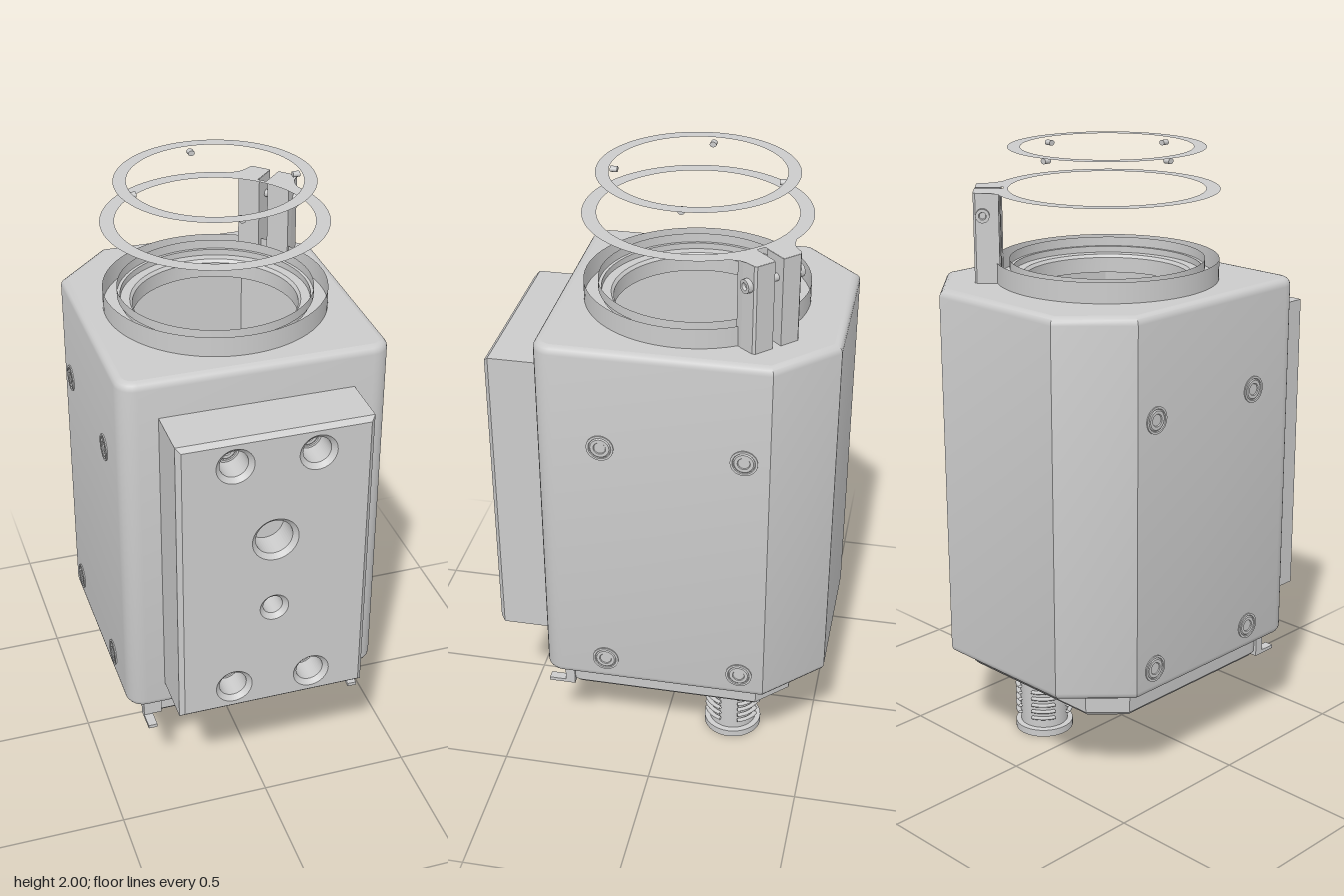
import * as THREE from 'three';
import { toCreasedNormals } from 'three/addons/utils/BufferGeometryUtils.js';

const CZ = -0.065; // z of the top opening's axis
const V = (x, y) => new THREE.Vector2(x, y);

export function createModel() {
  const root = new THREE.Group();
  const solid = new THREE.MeshStandardMaterial({ color: 0xcccccc });
  const thin = new THREE.MeshStandardMaterial({ color: 0xcccccc, side: THREE.DoubleSide });

  const add = (name, geo, x = 0, y = 0, z = 0, mat = solid, parent = root) => {
    const m = new THREE.Mesh(geo, mat);
    m.name = name;
    m.position.set(x, y, z);
    parent.add(m);
    return m;
  };
  const box = (name, x0, x1, y0, y1, z0, z1) =>
    add(name, new THREE.BoxGeometry(x1 - x0, y1 - y0, z1 - z0), (x0 + x1) / 2, (y0 + y1) / 2, (z0 + z1) / 2);
  const lathe = (pts, n = 64) => toCreasedNormals(new THREE.LatheGeometry(pts.map(p => V(...p)), n), 0.5);
  const circle = (x, y, r) => new THREE.Path().absarc(x, y, r, 0, Math.PI * 2, true);
  const rect = (x0, x1, y0, y1) => new THREE.Path([V(x0, y0), V(x0, y1), V(x1, y1), V(x1, y0)]);
  const flat = (shape) => new THREE.ShapeGeometry(shape, 48).rotateX(-Math.PI / 2);

  // Plan outline in (x, -z): rounded front corners, chamfered back corners, inset by i
  const outline = (o, i) => {
    const k = i * (Math.SQRT2 - 1), hw = o.hw - i, b = o.back - i, r = Math.max(o.r - i, 0.005);
    const f = o.front + i, pts = [];
    for (let j = 0; j <= 6; j++) {
      const a = -Math.PI / 2 + j * Math.PI / 12;
      pts.push(V(hw - r + r * Math.cos(a), f + r + r * Math.sin(a)));
    }
    pts.push(V(hw, o.back - o.c - k), V(o.hw - o.c - k, b));
    return pts.concat(pts.map(p => V(-p.x, p.y)).reverse());
  };
  // Skin through stacked outlines, rows of [y, inset]
  const loft = (o, rows) => {
    const pos = [], idx = [];
    const n = outline(o, 0).length;
    rows.forEach(([y, i]) => outline(o, i).forEach(p => pos.push(p.x, y, -p.y)));
    for (let r = 0; r < rows.length - 1; r++) for (let j = 0; j < n; j++) {
      const a = r * n + j, b = r * n + (j + 1) % n;
      idx.push(a, b, b + n, a, b + n, a + n);
    }
    const g = new THREE.BufferGeometry();
    g.setAttribute('position', new THREE.Float32BufferAttribute(pos, 3));
    g.setIndex(idx);
    return toCreasedNormals(g, 0.6);
  };

  // Housing: outer skin with rounded rims, inner wall, top and underside
  const body = { hw: 0.43, front: -0.365, back: 0.55, c: 0.18, r: 0.06 };
  const cover = { hw: 0.37, front: -0.305, back: 0.44, c: 0.1, r: 0.05 };
  const rim = 0.025, rows = [];
  for (let j = 0; j <= 4; j++) {
    const a = j * Math.PI / 8;
    rows.push([0.35 + rim * (1 - Math.sin(a)), rim * (1 - Math.cos(a))]);
  }
  rows.reverse();
  const skin = rows.concat(rows.map(([y, i]) => [1.935 - y, i]).reverse());
  skin.sort((p, q) => p[0] - q[0]);
  add('housing', loft(body, skin));
  add('innerWall', loft(body, [[0.35, 0.045], [1.56, 0.045]]), 0, 0, 0, thin);
  const top = new THREE.Shape(outline(body, rim));
  top.holes.push(circle(0, -CZ, 0.268));
  add('housingTop', flat(top), 0, 1.585, 0, thin);
  const under = new THREE.Shape(outline(body, rim));
  under.holes.push(new THREE.Path(outline(cover, 0).reverse()));
  add('housingUnderside', flat(under), 0, 0.35, 0, thin);

  // Bottom cover with floor openings
  add('bottomCover', loft(cover, [[0.262, 0.015], [0.275, 0.003], [0.35, 0]]), 0, 0, 0, thin);
  const floor = new THREE.Shape(outline(cover, 0.015));
  floor.holes.push(circle(0.15, 0.23, 0.085), rect(-0.18, 0.135, -0.26, 0.015),
    circle(0.16, -0.11, 0.014));
  add('floor', flat(floor), 0, 0.264, 0, thin);
  for (const s of [-1, 1]) {
    box('coverClip', s * 0.355 - 0.015, s * 0.355 + 0.015, 0.258, 0.27, 0.28, 0.368);
    box('coverRib', s * 0.34 - 0.03, s * 0.34 + 0.03, 0.27, 0.345, 0.28, 0.312);
  }

  // Mechanism inside the floor window
  box('leftBlock', 0.05, 0.125, 0.27, 0.34, -0.01, 0.04);
  box('rightBlock', -0.175, -0.085, 0.27, 0.34, -0.01, 0.04);
  box('rightRail', -0.18, -0.135, 0.266, 0.3, 0.04, 0.26);
  box('leftRail', 0.09, 0.135, 0.266, 0.3, 0.04, 0.26);
  box('slider', -0.05, 0.05, 0.266, 0.3, -0.01, 0.26);
  for (let i = 0; i < 18; i++) box('rackTooth', -0.01, 0.05, 0.3, 0.315, 0.004 + i * 0.014, 0.011 + i * 0.014);

  // Front mounting plate with round recesses
  const plate = new THREE.Shape([V(-0.31, 0.44), V(0.31, 0.44), V(0.31, 1.46), V(-0.31, 1.46)]);
  const bolts = [[-0.13, 1.37], [0.13, 1.37], [-0.13, 0.53], [0.13, 0.53]];
  const bevel = 0.015;
  for (const [x, y] of bolts) plate.holes.push(circle(x, y, 0.06 - bevel));
  plate.holes.push(circle(0, 1.08, 0.075 - bevel), circle(0, 0.82, 0.047 - bevel));
  add('frontPlate', new THREE.ExtrudeGeometry(plate, {
    depth: 0.18, bevelEnabled: true, bevelSize: bevel, bevelThickness: bevel,
    bevelOffset: -bevel, bevelSegments: 1, curveSegments: 24
  }), 0, 0, 0.355);
  box('plateBacking', -0.29, 0.29, 0.46, 1.44, 0.36, 0.45);

  // Screw heads: a rim with a sunken socket
  const screwGeo = lathe([[0.043, -0.002], [0.043, 0.004], [0.036, 0.004], [0.034, 0.001],
    [0.03, 0.004], [0.02, 0.004], [0.018, 0.001], [0, 0.001]], 32);
  const screw = (x, y, z, rx, rz) => add('screw', screwGeo, x, y, z, thin).rotation.set(rx, 0, rz);
  for (const [x, y] of bolts) screw(x, y, 0.451, Math.PI / 2, 0);
  for (const s of [-1, 1]) {
    screw(s * 0.19, 0.435, 0.365, Math.PI / 2, 0);
    for (const y of [0.435, 1.255]) for (const z of [0.155, -0.29]) screw(s * 0.43, y, z, 0, -s * Math.PI / 2);
  }

  // Collar: outer wall and stepped inner seat
  add('collarWall', new THREE.CylinderGeometry(0.355, 0.355, 0.065, 72, 1, true), 0, 1.6175, CZ, thin);
  add('collarSeat', lathe([[0.262, 1.54], [0.262, 1.59], [0.27, 1.6], [0.3, 1.6], [0.3, 1.62], [0.31, 1.62], [0.31, 1.65]], 72),
    0, 0, CZ, thin);

  // Clamp: two ears, a bolt across the slot, and the ring on top
  const clamp = new THREE.Group();
  clamp.name = 'clamp';
  clamp.position.set(0, 0, CZ);
  clamp.rotation.y = Math.PI / 4;
  root.add(clamp);
  const ear = [[0.335, 0.015], [0.415, 0.015], [0.415, 0.078], [0.408, 0.085], [0.36, 0.09], [0.335, 0.09]];
  for (const s of [-1, 1]) {
    const pts = ear.map(([u, w]) => V(u, s * w));
    const g = new THREE.ExtrudeGeometry(new THREE.Shape(pts), { depth: 0.283, bevelEnabled: false });
    add('clampEar', g.rotateX(-Math.PI / 2), 0, 1.585, 0, solid, clamp);
    const head = add('clampBoltHead', lathe([[0, -0.01], [0.022, -0.01], [0.022, 0.012], [0.012, 0.012], [0.01, 0.002], [0, 0.002]], 24),
      0.385, 1.8, s * 0.09, thin, clamp);
    head.rotation.x = s * Math.PI / 2;
  }
  add('clampBolt', new THREE.CylinderGeometry(0.012, 0.012, 0.16, 20).rotateX(Math.PI / 2), 0.385, 1.8, 0, solid, clamp);
  const ring = new THREE.Shape();
  ring.absarc(0, 0, 0.355, 0.35, Math.PI * 2 - 0.35, false);
  const tab = [[0.36, -0.098], [0.38, -0.09], [0.408, -0.085], [0.415, -0.078], [0.415, -0.015], [0.325, -0.015]];
  for (const [u, w] of tab) ring.lineTo(u, w);
  for (const [u, w] of [...tab].reverse()) ring.lineTo(u, -w);
  ring.holes.push(circle(0, 0, 0.31));
  add('clampRing', flat(ring), 0, 1.87, 0, thin, clamp);

  // Upper ring with four small tabs
  add('upperRing', new THREE.RingGeometry(0.27, 0.31, 72).rotateX(-Math.PI / 2), 0, 2, CZ, thin);
  for (let i = 0; i < 4; i++) {
    const a = i * Math.PI / 2;
    const t = add('ringTab', new THREE.CylinderGeometry(0.011, 0.011, 0.022, 12).rotateZ(Math.PI / 2).scale(1, 0.8, 1),
      0.26 * Math.cos(a), 1.983, CZ + 0.26 * Math.sin(a));
    t.rotation.y = -a;
  }

  // Cable connector: nut, socket tube, flange and thread segments
  const plug = new THREE.Group();
  plug.name = 'connector';
  plug.position.set(0.15, 0, -0.23);
  root.add(plug);
  add('nut', lathe([[0.083, 0.27], [0.083, 0.24], [0.128, 0.24], [0.138, 0.25], [0.138, 0.266], [0.083, 0.27]], 48), 0, 0, 0, thin, plug);
  add('innerCollar', lathe([[0.083, 0.265], [0.083, 0.3], [0.1, 0.3], [0.1, 0.28], [0.145, 0.28], [0.145, 0.264]], 48), 0, 0, 0, thin, plug);
  add('socket', lathe([[0.078, 0], [0.098, 0], [0.098, 0.024], [0.08, 0.026], [0.08, 0.18], [0.07, 0.18], [0.07, 0.01], [0.078, 0]], 48),
    0, 0, 0, thin, plug);
  for (let q = 0; q < 4; q++) for (let i = 0; i < 5; i++) {
    const t = add('thread', new THREE.TorusGeometry(0.089, 0.009, 6, 12, 0.9).rotateX(Math.PI / 2).scale(1, 0.6, 1),
      0, 0.065 + i * 0.024, 0, thin, plug);
    t.rotation.y = q * Math.PI / 2 + Math.PI / 4 + 0.45;
  }
  add('keyPlate', new THREE.PlaneGeometry(0.08, 0.07).rotateY(Math.PI / 2), -0.076, 0.21, 0, thin, plug);

  return root;
}
